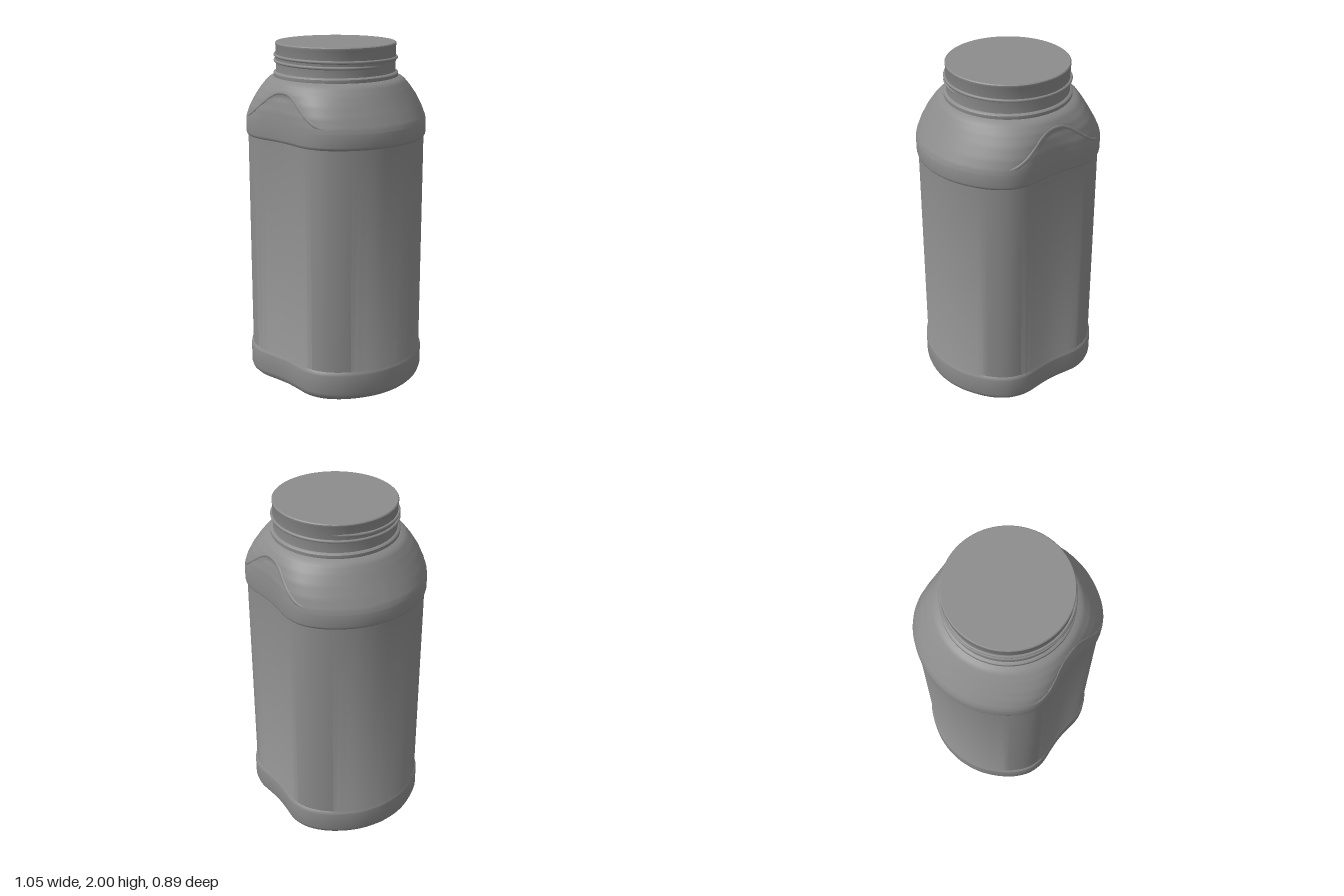
import * as THREE from 'three';
import { toCreasedNormals } from 'three/addons/utils/BufferGeometryUtils.js';

const SEG = 96; // points around the body

// Body profile: height, half width, half depth, roundness (0 = body outline, 1 = circle)
const PROFILE = [
  [0.08, 0.001, 0.001, 1], [0.08, 0.05, 0.05, 1], [0.07, 0.06, 0.06, 1], [0.05, 0.2, 0.18, 0.7],
  [0.005, 0.41, 0.335, 0], [0.0, 0.475, 0.398, 0], [0.008, 0.499, 0.42, 0], [0.025, 0.515, 0.436, 0],
  [0.05, 0.523, 0.444, 0], [0.16, 0.523, 0.444, 0], [0.172, 0.521, 0.442, 0], [0.182, 0.513, 0.434, 0],
  [1.472, 0.513, 0.434, 0], [1.48, 0.521, 0.442, 0], [1.49, 0.523, 0.444, 0], [1.56, 0.523, 0.444, 0],
  [1.585, 0.515, 0.444, 0.02], [1.64, 0.484, 0.442, 0.12], [1.7, 0.448, 0.432, 0.35], [1.75, 0.418, 0.415, 0.65],
  [1.785, 0.395, 0.394, 0.88], [1.8, 0.38, 0.379, 0.95], [1.81, 0.355, 0.355, 1],
];

// Quarter of the body outline in unit size, from the side to the front
const quarter = new THREE.CatmullRomCurve3([
  [1, 0], [0.982, 0.205], [0.93, 0.42], [0.81, 0.68], [0.69, 0.84], [0.56, 0.945], [0.4, 0.998], [0.2, 1], [0, 1],
].map(([x, z]) => new THREE.Vector3(x, 0, z)));

// Height of the arched ridge above a given x
const archY = (x) => 1.565 + 0.183 * Math.exp(-Math.pow(Math.abs(x) / 0.21, 2.2));

// Point of the body wall: the front and back panels are hollowed below the arch
function wallPoint([y, hx, hz, round], j) {
  const q = SEG / 4, k = j % SEG, side = Math.floor(k / q), r = k % q;
  const p = quarter.getPoint(side % 2 ? 1 - r / q : r / q);
  const a = Math.atan2(p.z, p.x);
  const x = hx * THREE.MathUtils.lerp(p.x, Math.cos(a), round);
  let z = hz * THREE.MathUtils.lerp(p.z, Math.sin(a), round);
  const hollow = Math.pow(Math.cos(Math.min(1, x / 0.21) * Math.PI / 2), 2);
  const below = THREE.MathUtils.smoothstep(archY(x) - y, -0.01, 0.03);
  const base = THREE.MathUtils.smoothstep(hz, 0.3, 0.4);
  z -= 0.014 * hollow * below * base * (p.z > 0.5 ? 1 : 0);
  return new THREE.Vector3(side === 1 || side === 2 ? -x : x, y, side < 2 ? z : -z);
}

// Profile at any height of the shoulder
function profileAt(y) {
  const i = PROFILE.findIndex((p, n) => n > 12 && p[0] >= y);
  const a = PROFILE[i - 1], b = PROFILE[i], t = (y - a[0]) / (b[0] - a[0]);
  return a.map((v, n) => THREE.MathUtils.lerp(v, b[n], t));
}

function bodyGeometry() {
  const rows = [];
  PROFILE.forEach((p, i) => {
    rows.push(p);
    // extra rows on the shoulder for a clean arch
    if (i > 14 && i < 20) for (let s = 1; s < 5; s++) rows.push(profileAt(p[0] + (PROFILE[i + 1][0] - p[0]) * s / 5));
  });
  const pos = [], index = [];
  rows.forEach((row, i) => {
    for (let j = 0; j < SEG; j++) {
      pos.push(...wallPoint(row, j).toArray());
      if (i === rows.length - 1) continue;
      const a = i * SEG + j, c = i * SEG + (j + 1) % SEG;
      index.push(a, a + SEG, c, c, a + SEG, c + SEG);
    }
  });
  const geo = new THREE.BufferGeometry();
  geo.setAttribute('position', new THREE.Float32BufferAttribute(pos, 3));
  geo.setIndex(index);
  return toCreasedNormals(geo, 0.7);
}

// Depth of the front wall at a given x and height
function frontDepth(x, y) {
  const row = profileAt(y);
  for (let j = 0; j < SEG / 2; j++) {
    const a = wallPoint(row, j), b = wallPoint(row, j + 1);
    if (a.x >= x && b.x <= x) return THREE.MathUtils.lerp(a.z, b.z, (a.x - x) / (a.x - b.x || 1));
  }
  return row[2];
}

export function createModel() {
  const group = new THREE.Group();
  const material = new THREE.MeshStandardMaterial({ color: 0x8c8c8c, side: THREE.DoubleSide });
  const add = (name, geometry) => {
    const mesh = new THREE.Mesh(geometry, material);
    mesh.name = name;
    group.add(mesh);
    return mesh;
  };

  add('body', bodyGeometry());

  // Neck with a collar and a closed mouth
  const neck = [
    [0.355, 1.805], [0.357, 1.812], [0.357, 1.828], [0.352, 1.834], [0.342, 1.837],
    [0.342, 1.98], [0.345, 1.985], [0.345, 1.995], [0.34, 2], [0, 2],
  ].map(([r, y]) => new THREE.Vector2(r, y));
  add('neck', toCreasedNormals(new THREE.LatheGeometry(neck, 96), 0.6));

  // Screw thread winding up the neck
  const thread = [];
  for (let i = 0; i <= 80; i++) {
    const a = (i / 80) * Math.PI * 3.2;
    const r = 0.346 - 0.012 * Math.max(0, 1 - Math.min(i, 80 - i) / 5);
    thread.push(new THREE.Vector3(r * Math.cos(a), 1.885 + 0.05 * i / 80, r * Math.sin(a)));
  }
  add('screwThread', new THREE.TubeGeometry(new THREE.CatmullRomCurve3(thread), 200, 0.009, 8));

  // Arched ridges on the front and back of the shoulder
  const arch = [];
  for (let i = 0; i <= 32; i++) {
    const x = -0.345 + 0.69 * i / 32, y = archY(x);
    const sink = 0.01 * Math.max(0, 1 - Math.min(i, 32 - i) / 4);
    arch.push(new THREE.Vector3(x, y, frontDepth(x, y) - 0.008 - sink));
  }
  const archGeometry = new THREE.TubeGeometry(new THREE.CatmullRomCurve3(arch), 80, 0.012, 8);
  add('frontArchRidge', archGeometry);
  add('backArchRidge', archGeometry).rotation.y = Math.PI;

  return group;
}
